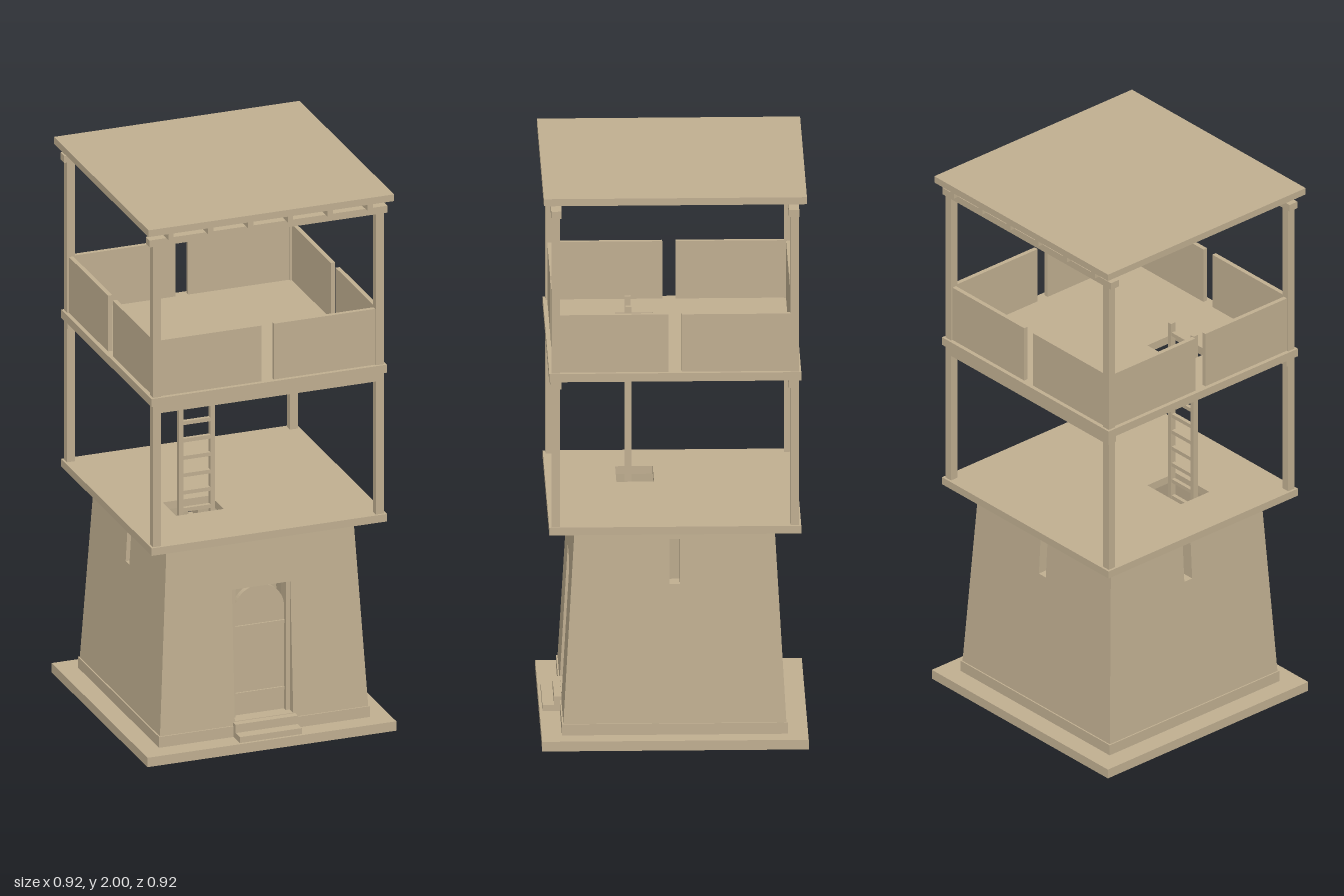
import * as THREE from 'three';

const sandstone = new THREE.MeshStandardMaterial({ color: 0xbfae90 });
sandstone.name = 'sandstone';

export function createModel() {
  const model = new THREE.Group();
  model.name = 'watchtower';

  function add(name, geometry, parent = model) {
    const mesh = new THREE.Mesh(geometry, sandstone);
    mesh.name = name;
    parent.add(mesh);
    return mesh;
  }

  // Box given by its limits on each axis
  function box(name, x0, x1, y0, y1, z0, z1, parent = model) {
    const g = new THREE.BoxGeometry(x1 - x0, y1 - y0, z1 - z0);
    g.translate((x0 + x1) / 2, (y0 + y1) / 2, (z0 + z1) / 2);
    return add(name, g, parent);
  }

  function polygon(points, Type = THREE.Shape) {
    return new Type(points.map(([x, y]) => new THREE.Vector2(x, y)));
  }
  const rect = (x0, x1, y0, y1, Type) =>
    polygon([[x0, y0], [x1, y0], [x1, y1], [x0, y1]], Type);

  // Foundation and plinth
  box('foundation', -0.46, 0.46, 0, 0.035, -0.46, 0.46);
  box('plinth', -0.39, 0.39, 0.035, 0.075, -0.39, 0.39);

  // Hollow battered walls: each is a slab with an opening, leaned inward
  const bottom = 0.075, top = 0.775, thick = 0.06;
  const halfAt = y => 0.385 - 0.04 * (y - bottom) / (top - bottom);
  function wall(name, angle, hole) {
    const a = halfAt(bottom), b = halfAt(top);
    const shape = polygon([[-a, bottom], [a, bottom], [b, top], [-b, top]]);
    shape.holes.push(hole);
    const g = new THREE.ExtrudeGeometry(shape, { depth: thick, bevelEnabled: false });
    const p = g.attributes.position;
    for (let i = 0; i < p.count; i++) {
      const x = p.getX(i), inset = thick - p.getZ(i), h = halfAt(p.getY(i));
      if (Math.abs(x) > 0.2) p.setX(i, Math.sign(x) * (h - inset)); // mitred corners
      p.setZ(i, h - inset);
    }
    g.computeVertexNormals();
    add(name, g).rotation.y = angle;
  }
  const slit = () => rect(-0.018, 0.018, 0.57, 0.73, THREE.Path);
  wall('frontWall', 0, rect(-0.108, 0.108, 0.09, 0.57, THREE.Path));
  wall('leftWall', Math.PI / 2, slit());
  wall('backWall', Math.PI, slit());
  wall('rightWall', -Math.PI / 2, slit());

  // Entrance: jambs, arched door, cross bands, steps
  const entrance = new THREE.Group();
  entrance.name = 'entrance';
  model.add(entrance);
  for (const s of [-1, 1]) {
    const x = s * 0.1005;
    box('doorJamb', x - 0.0075, x + 0.0075, 0.09, 0.57, 0.305, 0.352, entrance);
  }
  const arch = new THREE.Shape();
  arch.moveTo(-0.093, 0.09);
  arch.lineTo(0.093, 0.09);
  arch.lineTo(0.093, 0.473);
  arch.absarc(0, 0.473, 0.093, 0, Math.PI, false);
  arch.closePath();
  const door = new THREE.ExtrudeGeometry(arch, { depth: 0.02, bevelEnabled: false, curveSegments: 16 });
  door.translate(0, 0, 0.315);
  add('door', door, entrance);
  for (const y of [0.168, 0.417]) box('doorBand', -0.093, 0.093, y - 0.006, y + 0.006, 0.33, 0.341, entrance);
  box('lowerStep', -0.115, 0.115, 0.035, 0.057, 0.38, 0.45, entrance);
  box('upperStep', -0.115, 0.115, 0.057, 0.088, 0.34, 0.41, entrance);

  // Decks with a ladder hatch
  function deck(name, y, height) {
    const shape = rect(-0.435, 0.435, -0.435, 0.435);
    shape.holes.push(rect(-0.25, -0.075, -0.19, -0.06, THREE.Path));
    const g = new THREE.ExtrudeGeometry(shape, { depth: height, bevelEnabled: false });
    g.rotateX(-Math.PI / 2);
    g.translate(0, y, 0);
    add(name, g);
  }
  deck('lowerDeck', 0.775, 0.028);
  deck('upperDeck', 1.33, 0.03);

  // Corner posts and parapets
  for (const sx of [-1, 1]) for (const sz of [-1, 1]) {
    const x = sx * 0.412, z = sz * 0.412, r = 0.0145;
    box('lowerPost', x - r, x + r, 0.803, 1.33, z - r, z + r);
    box('upperPost', x - r, x + r, 1.36, 1.925, z - r, z + r);
  }
  for (let i = 0; i < 4; i++) {
    const side = new THREE.Group();
    side.name = 'parapet';
    side.rotation.y = i * Math.PI / 2;
    model.add(side);
    box('parapetPanel', -0.4, -0.023, 1.36, 1.568, 0.404, 0.42, side);
    box('parapetPanel', 0.023, 0.4, 1.36, 1.568, 0.404, 0.42, side);
  }

  // Beams at front and back
  for (const s of [-1, 1]) {
    const z = s * 0.41;
    box('deckBeam', -0.425, 0.425, 1.3, 1.33, z - 0.018, z + 0.018);
    box('roofBeam', -0.44, 0.44, 1.924, 1.95, z - 0.018, z + 0.018);
  }

  // Roof joists and slab
  for (let i = 0; i < 6; i++) {
    const x = -0.368 + i * 0.1472;
    box('roofJoist', x - 0.01, x + 0.01, 1.95, 1.975, -0.447, 0.447);
  }
  box('roof', -0.454, 0.454, 1.975, 2, -0.454, 0.454);

  // Ladder through both hatches
  const ladder = new THREE.Group();
  ladder.name = 'ladder';
  model.add(ladder);
  for (const x of [-0.219, -0.102]) box('ladderRail', x - 0.008, x + 0.008, 0.075, 1.43, 0.138, 0.158, ladder);
  for (let y = 0.157; y < 1.4; y += 0.0648) {
    box('ladderRung', -0.213, -0.108, y - 0.007, y + 0.007, 0.141, 0.155, ladder);
  }
  return model;
}
